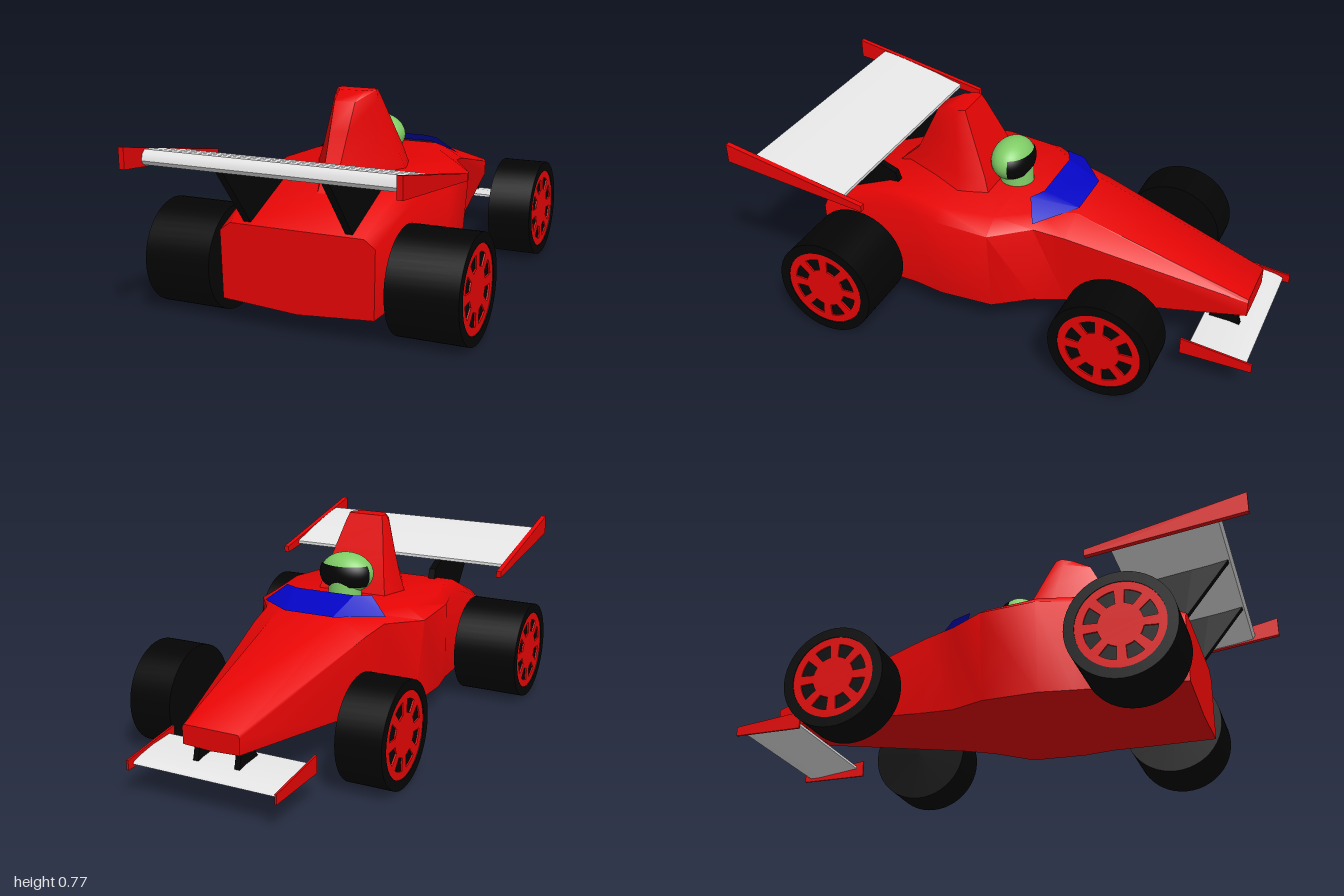
import * as THREE from 'three';
import { toCreasedNormals } from 'three/addons/utils/BufferGeometryUtils.js';

const mat = (name, color, extra = {}) => {
  const m = new THREE.MeshStandardMaterial({ color, ...extra });
  m.name = name;
  return m;
};

// Skin a closed surface over rings that turn right-handed about their direction of travel
function loft(rings, crease) {
  const n = rings[0].length, pos = rings.flat(2), idx = [];
  const last = (rings.length - 1) * n;
  for (let i = 0; i < rings.length - 1; i++) {
    for (let j = 0; j < n; j++) {
      const a = i * n + j, b = i * n + (j + 1) % n;
      idx.push(a, b, b + n, a, b + n, a + n);
    }
  }
  for (let j = 1; j < n - 1; j++) {
    idx.push(0, j + 1, j, last, last + j, last + j + 1);
  }
  const g = new THREE.BufferGeometry();
  g.setAttribute('position', new THREE.Float32BufferAttribute(pos, 3));
  g.setIndex(idx);
  return toCreasedNormals(g, crease);
}

// Extrude a side profile given as [z, y] points across the width, centred on x = 0
function slab(points, width) {
  const shape = new THREE.Shape(points.map(([z, y]) => new THREE.Vector2(z, y)));
  const g = new THREE.ExtrudeGeometry(shape, { depth: width, bevelEnabled: false });
  g.translate(0, 0, -width / 2).rotateY(-Math.PI / 2);
  return toCreasedNormals(g, 0.7);
}

export function createModel() {
  const car = new THREE.Group();
  car.name = 'racingCar';
  const red = mat('red paint', 0xf20505);
  const black = mat('black', 0x040404);
  const white = mat('wing white', 0xe6e6e6);
  const blue = mat('windscreen blue', 0x0404c4, { side: THREE.DoubleSide });
  const green = mat('helmet green', 0x80cc66);

  const add = (name, geo, material, x = 0, y = 0, z = 0, parent = car) => {
    const m = new THREE.Mesh(geo, material);
    m.name = name;
    m.position.set(x, y, z);
    parent.add(m);
    return m;
  };

  // Body: z, top half width, shoulder half width, floor half width, top y, shoulder y, floor y, keel y
  const stations = [
    [-0.925, 0.104, 0.11, 0.108, 0.275, 0.265, 0.205, 0.20],
    [-0.26, 0.13, 0.23, 0.21, 0.483, 0.43, 0.135, 0.13],
    [-0.14, 0.18, 0.25, 0.24, 0.483, 0.45, 0.12, 0.115],
    [0.00, 0.28, 0.35, 0.32, 0.485, 0.44, 0.105, 0.105],
    [0.21, 0.31, 0.353, 0.33, 0.485, 0.45, 0.105, 0.105],
    [0.33, 0.28, 0.32, 0.31, 0.485, 0.445, 0.105, 0.10],
    [0.48, 0.27, 0.31, 0.30, 0.475, 0.43, 0.10, 0.095],
    [0.735, 0.25, 0.29, 0.285, 0.37, 0.34, 0.095, 0.075],
  ];
  add('body', loft(stations.map(([z, wt, wm, wb, yt, ym, yb, yk]) => [
    [0, yk, z], [wb, yb, z], [wm, ym, z], [wt, yt, z],
    [-wt, yt, z], [-wm, ym, z], [-wb, yb, z],
  ]), 1.0), red);

  // Air intake: y, front z, side z, ridge z, front half width, side half width, ridge half width
  const intake = [
    [0.45, 0.08, 0.20, 0.54, 0.15, 0.19, 0.015],
    [0.54, 0.11, 0.21, 0.445, 0.13, 0.155, 0.03],
    [0.64, 0.155, 0.23, 0.395, 0.105, 0.12, 0.035],
    [0.74, 0.20, 0.25, 0.345, 0.08, 0.087, 0.04],
    [0.772, 0.215, 0.24, 0.28, 0.07, 0.078, 0.05],
  ];
  add('airIntake', loft(intake.map(([y, zf, zs, zb, wf, ws, wb]) => [
    [wf, y, zf], [-wf, y, zf], [-ws, y, zs], [-wb, y, zb], [wb, y, zb], [ws, y, zs],
  ]), 0.9), red);

  // Wrap-around windscreen
  const lower = [[-0.255, 0.478, -0.14], [-0.1, 0.488, -0.262], [0.1, 0.488, -0.262], [0.255, 0.478, -0.14]];
  const upper = [[-0.18, 0.54, -0.1], [-0.12, 0.54, -0.13], [0.12, 0.54, -0.13], [0.18, 0.54, -0.1]];
  const screen = new THREE.BufferGeometry();
  screen.setAttribute('position', new THREE.Float32BufferAttribute([...lower, ...upper].flat(), 3));
  screen.setIndex([0, 1, 2].flatMap(i => [i, i + 4, i + 5, i, i + 5, i + 1]));
  add('windscreen', toCreasedNormals(screen, 0.3), blue);

  // Driver
  add('helmet', new THREE.SphereGeometry(1, 32, 20), green, 0, 0.573, 0.052).scale.set(0.108, 0.079, 0.079);
  add('visor', new THREE.SphereGeometry(1, 28, 10, Math.PI * 1.5 - 1.3, 2.6, 1.1, 1.03), black, 0, 0.573, 0.052)
    .scale.set(0.112, 0.083, 0.083);
  add('neck', new THREE.CylinderGeometry(0.062, 0.066, 0.1, 24), green, 0, 0.51, 0.035);

  // Wings
  add('rearWing', slab([[0.52, 0.54], [0.62, 0.547], [0.72, 0.56], [0.82, 0.572], [0.895, 0.585], [0.905, 0.6],
    [0.9, 0.622], [0.885, 0.636], [0.85, 0.632], [0.78, 0.618], [0.65, 0.588], [0.52, 0.552]], 0.955), white);
  add('frontWing', slab([[-0.975, 0.118], [-0.94, 0.118], [-0.86, 0.128], [-0.765, 0.14],
    [-0.765, 0.15], [-0.86, 0.146], [-0.94, 0.134], [-0.97, 0.125]], 0.56), white);

  const rearPlate = slab([[0.43, 0.52], [1, 0.59], [1, 0.665], [0.43, 0.545]], 0.02);
  const rearStrut = slab([[0.72, 0.375], [0.89, 0.585], [0.76, 0.58], [0.53, 0.545], [0.455, 0.515], [0.44, 0.465]], 0.027);
  const frontPlate = slab([[-1, 0.105], [-0.735, 0.105], [-0.735, 0.17], [-1, 0.14]], 0.008);
  const frontStrut = slab([[-0.9, 0.135], [-0.78, 0.145], [-0.83, 0.215], [-0.88, 0.215]], 0.02);

  // Wheel rim: flat disc with eight slots, set into the tyre
  const rimShape = new THREE.Shape().absarc(0, 0, 0.155, 0, Math.PI * 2);
  for (let k = 0; k < 8; k++) {
    const a = (k + 0.5) * Math.PI / 4;
    const slot = new THREE.Path();
    slot.absarc(0, 0, 0.126, a - 0.25, a + 0.25, false);
    slot.absarc(0, 0, 0.078, a + 0.2, a - 0.2, true);
    slot.closePath();
    rimShape.holes.push(slot);
  }
  const rim = new THREE.ExtrudeGeometry(rimShape, { depth: 0.006, bevelEnabled: false, curveSegments: 24 });

  for (const s of [1, -1]) {
    const side = s > 0 ? 'left' : 'right';
    add(side + 'RearEndPlate', rearPlate, red, s * 0.485);
    add(side + 'RearWingStrut', rearStrut, black, s * 0.19);
    add(side + 'FrontEndPlate', frontPlate, red, s * 0.283);
    add(side + 'FrontWingStrut', frontStrut, black, s * 0.08);
    add(side + 'RearAxle', new THREE.CylinderGeometry(0.037, 0.037, 0.08, 20).rotateZ(Math.PI / 2),
      black, s * 0.31, 0.192, 0.565);

    // Wheels: name, z, inner x, outer x
    for (const [end, z, inner, outer] of [['Front', -0.5, 0.328, 0.499], ['Rear', 0.565, 0.328, 0.585]]) {
      const wheel = new THREE.Group();
      wheel.name = side + end + 'Wheel';
      wheel.position.set(s * inner, 0.192, z);
      wheel.rotation.y = s * Math.PI / 2;
      car.add(wheel);
      const w = outer - inner;
      const profile = [[0, 0], [0.192, 0], [0.192, w], [0.155, w], [0.155, w - 0.012], [0, w - 0.012]];
      const tyre = new THREE.LatheGeometry(profile.map(p => new THREE.Vector2(...p)), 48).rotateX(Math.PI / 2);
      add('tyre', toCreasedNormals(tyre, 0.6), black, 0, 0, 0, wheel);
      add('rim', rim, red, 0, 0, w - 0.009, wheel);
    }
  }
  return car;
}
